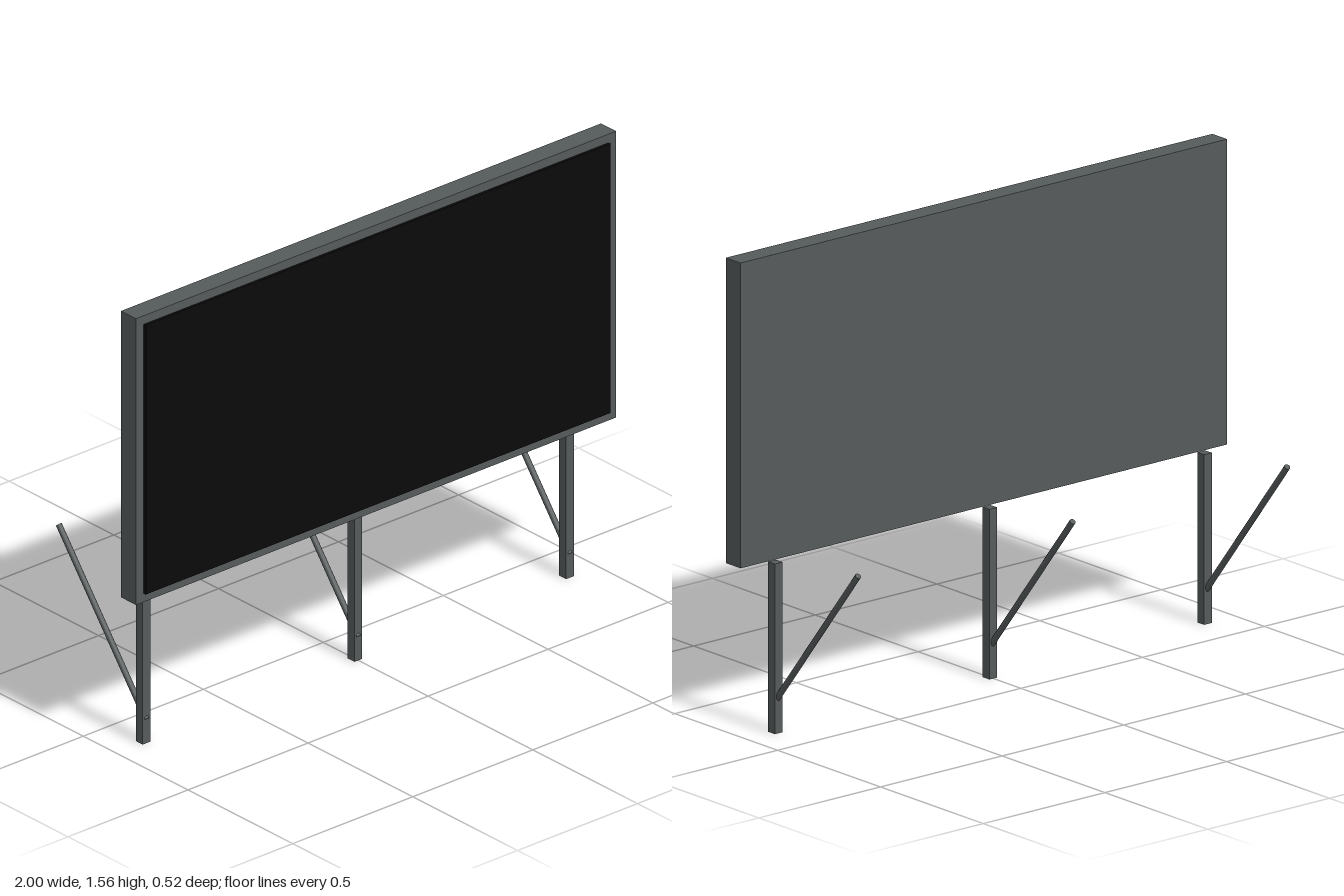
import * as THREE from 'three';

export function createModel() {
  const model = new THREE.Group();
  const steel = new THREE.MeshStandardMaterial({ name: 'grey steel', color: 0x555a5a });
  const black = new THREE.MeshStandardMaterial({ name: 'black screen', color: 0x0a0a0a });

  const add = (name, geometry, material, x, y, z) => {
    const mesh = new THREE.Mesh(geometry, material);
    mesh.name = name;
    mesh.position.set(x, y, z);
    model.add(mesh);
    return mesh;
  };

  // Cabinet with the display face standing slightly proud of it
  add('cabinet', new THREE.BoxGeometry(2, 1.005, 0.072), steel, 0, 1.058, 0.216);
  add('screen', new THREE.BoxGeometry(1.936, 0.945, 0.0098), black, 0, 1.058, 0.2569);

  // Three upright posts, each with a slanted rear brace poking through its front
  const low = new THREE.Vector3(0, 0.083, 0.165);
  const high = new THREE.Vector3(0, 0.61, -0.252);
  const along = high.clone().sub(low);
  const middle = low.clone().add(high).multiplyScalar(0.5);
  const postGeometry = new THREE.BoxGeometry(0.032, 0.56, 0.033);
  const braceGeometry = new THREE.CylinderGeometry(0.01, 0.01, along.length(), 12);

  for (const x of [-0.882, 0, 0.882]) {
    add('post', postGeometry, steel, x, 0.28, 0.1505);
    const brace = add('brace', braceGeometry, steel, x, middle.y, middle.z);
    brace.quaternion.setFromUnitVectors(new THREE.Vector3(0, 1, 0), along.clone().normalize());
  }
  return model;
}
